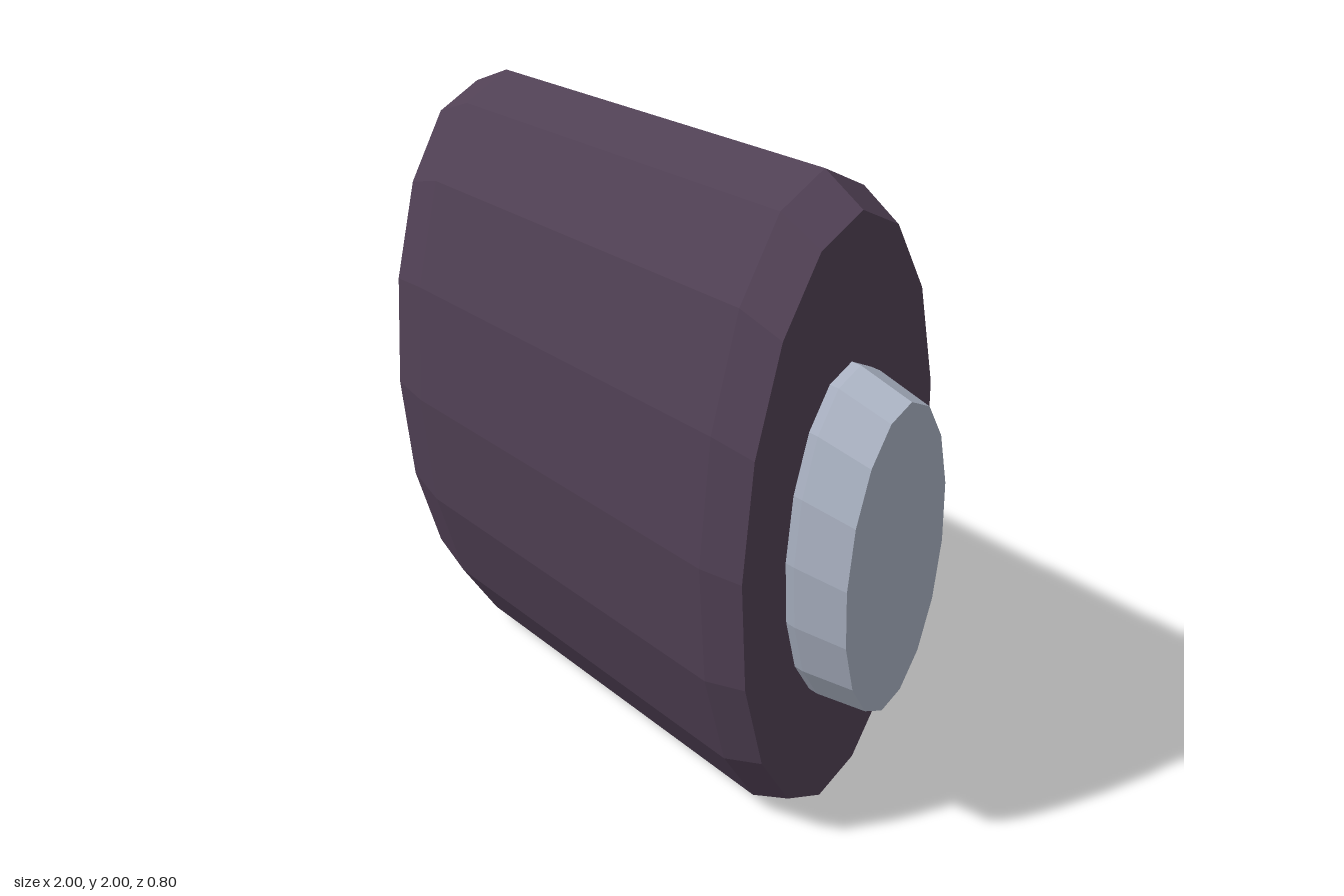
import * as THREE from 'three';

const SIDES = 16;
const DEPTH = 0.4; // front-to-back squash of the round section

// Faceted solid turned about the x axis; profile is [x, radius] from -x to +x
function turned(name, profile, material) {
  const points = profile.map(([x, r]) => new THREE.Vector2(r, x));
  const geometry = new THREE.LatheGeometry(points, SIDES)
    .rotateZ(-Math.PI / 2)
    .scale(1, 1, DEPTH)
    .toNonIndexed();
  geometry.computeVertexNormals();
  const mesh = new THREE.Mesh(geometry, material);
  mesh.name = name;
  mesh.position.y = 1;
  return mesh;
}

export function createModel() {
  const rubber = new THREE.MeshStandardMaterial({ color: 0x504054, flatShading: true });
  rubber.name = 'dark purple rubber';
  const metal = new THREE.MeshStandardMaterial({ color: 0xa8b0c0, flatShading: true });
  metal.name = 'pale grey metal';

  const group = new THREE.Group();
  group.name = 'roller';

  // Wide tyre with bevelled rims
  group.add(turned('tyre', [
    [-0.8, 0], [-0.8, 0.937], [-0.64, 1], [0.67, 1], [0.8, 0.927], [0.8, 0],
  ], rubber));

  // Axle hub running through the tyre and tapering at both ends
  group.add(turned('hub', [
    [-1, 0], [-1, 0.487], [-0.79, 0.522], [0.83, 0.522], [1, 0.482], [1, 0],
  ], metal));

  return group;
}
